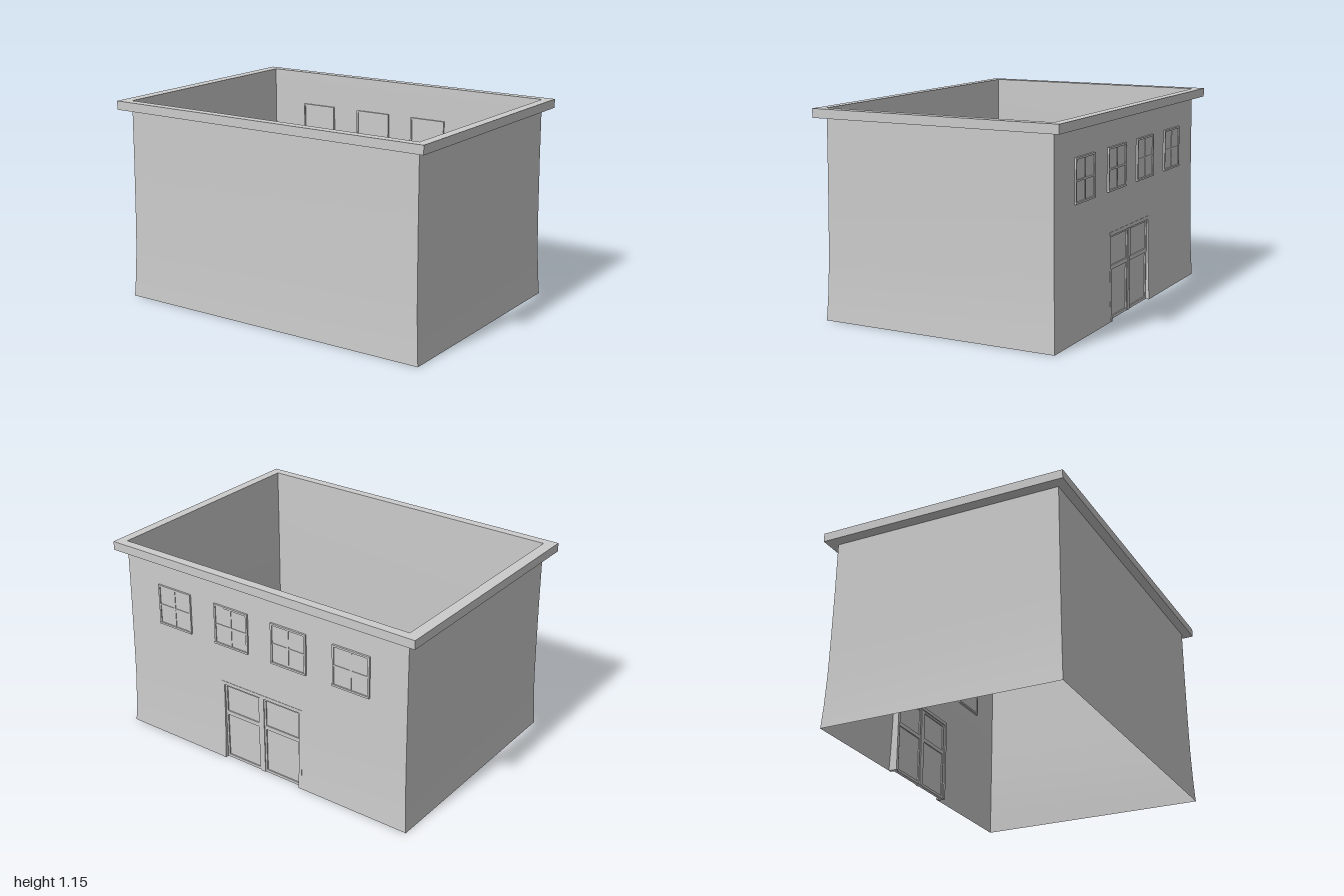
import * as THREE from 'three';

const grey = new THREE.MeshStandardMaterial({ color: 0xcccccc });
const greyThin = new THREE.MeshStandardMaterial({ color: 0xcccccc, side: THREE.DoubleSide });

// Wall profile: height, half width, half depth (flaring toward the ground)
const levels = [
  [0, 0.963, 0.688], [0.13, 0.954, 0.682], [0.3, 0.947, 0.677],
  [0.49, 0.944, 0.674], [0.8, 0.941, 0.671], [1.11, 0.94, 0.669],
];
const CX = 0.005;
const RIM_BOTTOM = 1.105, RIM_TOP = 1.155;
const DOOR = { left: -0.275, right: 0.285, top: 0.49, rows: 3 };

// Wall depth at a given height
function depthAt(y) {
  for (let i = 1; i < levels.length; i++) {
    const [y0, , z0] = levels[i - 1], [y1, , z1] = levels[i];
    if (y <= y1) return z0 + (z1 - z0) * (y - y0) / (y1 - y0);
  }
  return levels[levels.length - 1][2];
}

// Box given by its min and max corners
function box(name, x0, x1, y0, y1, z0, z1) {
  const m = new THREE.Mesh(new THREE.BoxGeometry(x1 - x0, y1 - y0, z1 - z0), grey);
  m.position.set((x0 + x1) / 2, (y0 + y1) / 2, (z0 + z1) / 2);
  m.name = name;
  return m;
}

// Thin wall lofted through the levels; columns(level) lists points left to right as seen from outside
function wall(name, columns, skip = () => false) {
  const pos = [], index = [];
  const n = columns(levels[0]).length;
  for (const level of levels) {
    for (const [x, z] of columns(level)) pos.push(x, level[0], z);
  }
  for (let r = 0; r < levels.length - 1; r++) {
    for (let c = 0; c < n - 1; c++) {
      if (skip(r, c)) continue;
      const a = r * n + c, b = a + 1, d = a + n, e = d + 1;
      index.push(a, b, e, a, e, d);
    }
  }
  const g = new THREE.BufferGeometry();
  g.setAttribute('position', new THREE.Float32BufferAttribute(pos, 3));
  g.setIndex(index);
  g.computeVertexNormals();
  const m = new THREE.Mesh(g, greyThin);
  m.name = name;
  return m;
}

// Flat rectangular ring around the top of the walls
function roofRim() {
  const rect = (P, x0, x1, z) => new P([
    new THREE.Vector2(x0, -z), new THREE.Vector2(x1, -z),
    new THREE.Vector2(x1, z), new THREE.Vector2(x0, z),
  ]);
  const shape = rect(THREE.Shape, -1, 1, 0.722);
  shape.holes.push(rect(THREE.Path, CX - 0.94, CX + 0.94, 0.669));
  const g = new THREE.ExtrudeGeometry(shape, { depth: RIM_TOP - RIM_BOTTOM, bevelEnabled: false });
  g.rotateX(-Math.PI / 2);
  const m = new THREE.Mesh(g, grey);
  m.position.y = RIM_BOTTOM;
  m.name = 'roofRim';
  return m;
}

// Four-pane window set through the back wall
function makeWindow(cx) {
  const g = new THREE.Group();
  g.name = 'window';
  const w = 0.116, y0 = 0.715, y1 = 0.953, t = 0.011, zi = -0.659, zo = -0.681;
  const ym = (y0 + y1) / 2;
  g.add(
    box('windowPane', cx - w, cx + w, y0, y1, -0.676, -0.665),
    box('windowFrameSide', cx - w, cx - w + t, y0, y1, zo, zi),
    box('windowFrameSide', cx + w - t, cx + w, y0, y1, zo, zi),
    box('windowFrameTop', cx - w + t, cx + w - t, y1 - t, y1, zo, zi),
    box('windowSill', cx - w, cx + w, y0, y0 + t, zo - 0.003, zi),
    box('windowMullion', cx - 0.005, cx + 0.005, y0, y1, -0.679, -0.67),
    box('windowRail', cx - w, cx + w, ym - 0.005, ym + 0.005, -0.679, -0.67),
  );
  return g;
}

// Door jamb whose outer edge follows the flare of the wall
function jamb(x0, x1) {
  const g = new THREE.BoxGeometry(x1 - x0, DOOR.top, 0.04, 1, 12, 1);
  g.translate((x0 + x1) / 2, DOOR.top / 2, 0);
  const p = g.attributes.position;
  for (let i = 0; i < p.count; i++) {
    p.setZ(i, p.getZ(i) > 0 ? -0.64 : -depthAt(p.getY(i)) - 0.001);
  }
  g.computeVertexNormals();
  const m = new THREE.Mesh(g, grey);
  m.name = 'doorJamb';
  return m;
}

// Recessed double door, each leaf with an upper and a lower panel
function doubleDoor() {
  const g = new THREE.Group();
  g.name = 'doubleDoor';
  const { left, right, top } = DOOR, t = 0.02, mid = (left + right) / 2;
  g.add(
    jamb(left, left + t), jamb(right - t, right),
    box('doorHead', left, right, top - t, top, -0.676, -0.64),
    box('doorCentrePost', mid - 0.014, mid + 0.014, 0, top - t, -0.672, -0.643),
  );
  for (const [a, b] of [[left + t, mid - 0.014], [mid + 0.014, right - t]]) {
    const s = 0.012, z0 = -0.667, z1 = -0.647;
    g.add(
      box('doorPanel', a, b, 0.003, top - t, -0.66, -0.654),
      box('leafStile', a, a + s, 0, top - t, z0, z1),
      box('leafStile', b - s, b, 0, top - t, z0, z1),
      box('leafTopRail', a, b, top - t - s, top - t, z0, z1),
      box('leafMiddleRail', a, b, 0.278, 0.302, z0, z1),
      box('leafBottomRail', a, b, 0, 0.016, z0, z1),
    );
  }
  return g;
}

export function createModel() {
  const model = new THREE.Group();
  model.name = 'building';

  // Four thin walls, open at top and bottom, with a doorway in the back
  model.add(
    wall('frontWall', ([, x, z]) => [[CX - x, z], [CX + x, z]]),
    wall('leftWall', ([, x, z]) => [[CX + x, z], [CX + x, -z]]),
    wall('rightWall', ([, x, z]) => [[CX - x, -z], [CX - x, z]]),
    wall('backWall',
      ([, x, z]) => [[CX + x, -z], [DOOR.right, -z], [DOOR.left, -z], [CX - x, -z]],
      (row, col) => row < DOOR.rows && col === 1),
    roofRim(),
    doubleDoor(),
  );

  // Row of windows above the door
  for (const x of [-0.593, -0.19, 0.2, 0.603]) model.add(makeWindow(x));
  return model;
}
